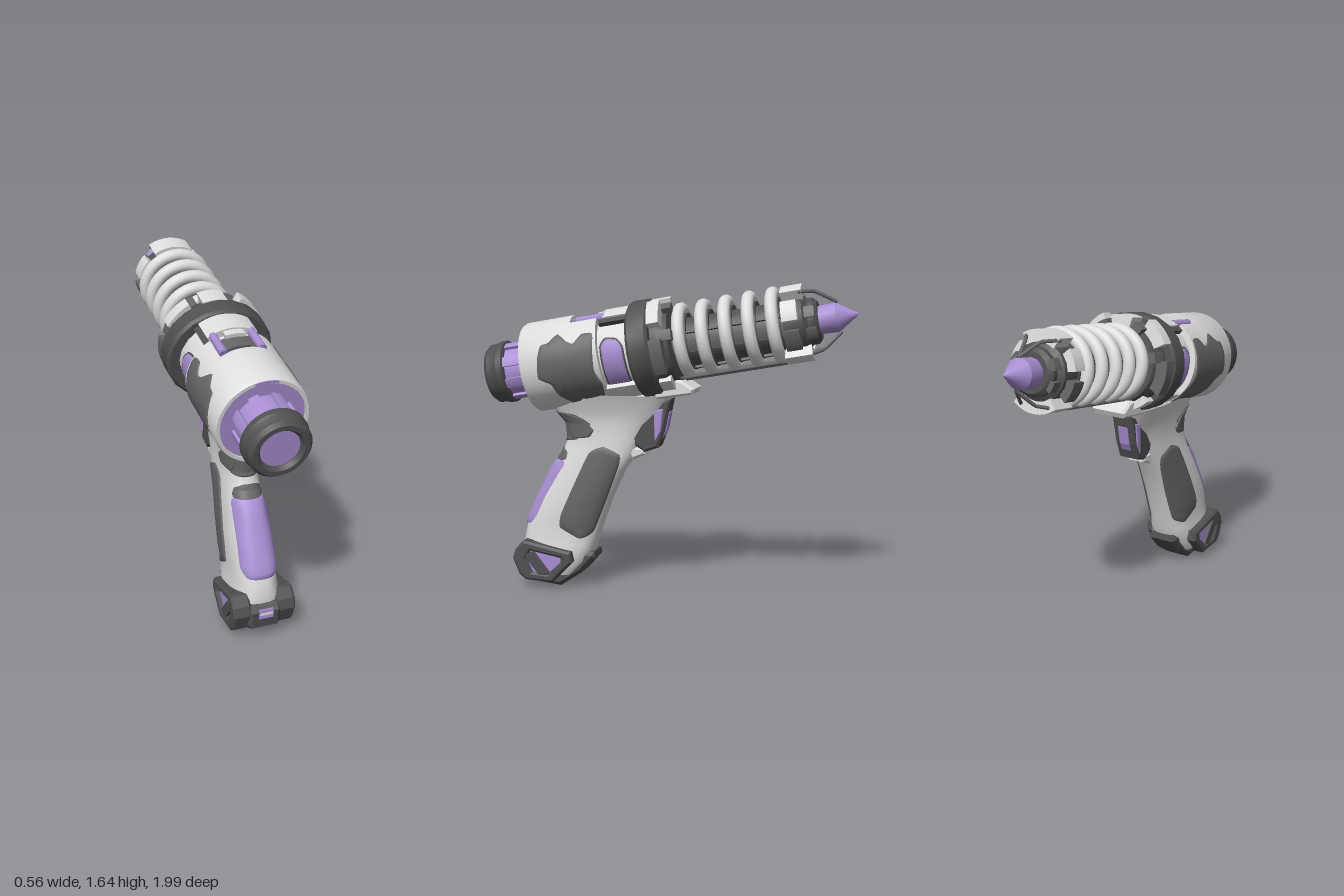
import * as THREE from 'three';
import { toCreasedNormals } from 'three/addons/utils/BufferGeometryUtils.js';

const TILT = THREE.MathUtils.degToRad(10), AXIS_Y = 1.319, N = 2.6;
const mat = (name, color) => new THREE.MeshStandardMaterial({ name, color, side: THREE.DoubleSide });
const rad = THREE.MathUtils.degToRad;

// handle cross-sections: y, back z, front z, half width
const SECTIONS = [
  [0.07, 0.76, 0.49, 0.11], [0.15, 0.80, 0.42, 0.13], [0.24, 0.80, 0.39, 0.125], [0.30, 0.79, 0.37, 0.112],
  [0.38, 0.77, 0.345, 0.12], [0.5, 0.715, 0.30, 0.116], [0.65, 0.64, 0.23, 0.103], [0.74, 0.578, 0.165, 0.093],
  [0.82, 0.545, 0.13, 0.086], [0.9, 0.555, 0.08, 0.088], [0.97, 0.62, 0.01, 0.10], [1.06, 0.66, -0.03, 0.14]];

function sectionAt(y) {
  let i = 0;
  while (i < SECTIONS.length - 2 && SECTIONS[i + 1][0] < y) i++;
  const a = SECTIONS[i], b = SECTIONS[i + 1], t = (y - a[0]) / (b[0] - a[0]);
  const [zb, zf, w] = [1, 2, 3].map(k => a[k] + (b[k] - a[k]) * t);
  return { zc: (zb + zf) / 2, d: (zb - zf) / 2, w };
}
const bulge = t => Math.pow(Math.max(0, 1 - Math.pow(Math.abs(t), N)), 1 / N);

function indexed(pos, idx) {
  const g = new THREE.BufferGeometry();
  g.setAttribute('position', new THREE.Float32BufferAttribute(pos, 3));
  g.setIndex(idx);
  g.computeVertexNormals();
  return g;
}

// loft of superellipse rings
function handleGeometry() {
  const n = 40, pos = [], idx = [];
  SECTIONS.forEach(([y]) => {
    const { zc, d, w } = sectionAt(y);
    for (let i = 0; i < n; i++) {
      const t = i / n * Math.PI * 2, c = Math.cos(t), s = Math.sin(t);
      pos.push(w * Math.sign(c) * Math.abs(c) ** (2 / N), y, zc + d * Math.sign(s) * Math.abs(s) ** (2 / N));
    }
  });
  for (let r = 0; r < SECTIONS.length - 1; r++) for (let i = 0; i < n; i++) {
    const a = r * n + i, b = r * n + (i + 1) % n;
    idx.push(a, a + n, b, b, a + n, b + n);
  }
  return indexed(pos, idx);
}

// thin panel: rounded outline (u, y) wrapped on a surface; place(u, y, offset) gives the point
function panel(outline, place, off = 0.008) {
  const curve = new THREE.CatmullRomCurve3(outline.map(p => new THREE.Vector3(p[0], p[1], 0)), true, 'catmullrom', 0.2);
  const n = 64, rings = 8, pts = curve.getPoints(n).slice(0, n), pos = [], idx = [];
  const c = pts.reduce((s, p) => s.add(p), new THREE.Vector3()).divideScalar(n);
  const ccw = THREE.ShapeUtils.area(pts) > 0;
  for (let k = 0; k <= rings + 1; k++) for (const p of pts) {
    const q = c.clone().lerp(p, Math.min(k, rings) / rings);
    pos.push(...place(q.x, q.y, k > rings ? -0.004 : off));
  }
  for (let k = 0; k <= rings; k++) for (let i = 0; i < n; i++) {
    const a = k * n + i, b = k * n + (i + 1) % n;
    idx.push(...(ccw ? [a, b, a + n, b, b + n, a + n] : [a, a + n, b, b, a + n, b + n]));
  }
  return indexed(pos, idx);
}
const onHandleSide = (z, y, o) => { const s = sectionAt(y); return [-s.w * bulge((z - s.zc) / s.d) - o, y, z]; };
const onHandleBack = (x, y, o) => { const s = sectionAt(y); return [x, y, s.zc + s.d * bulge(x / s.w) + o]; };
const onBarrel = r => (z, y, o) => {
  const h = (y - AXIS_Y) * Math.cos(TILT) + z * Math.sin(TILT);
  return [-Math.sqrt(Math.max(0, r * r - h * h)) - o, y, z];
};

// outline (z, y) extruded across x
function slab(points, x0, x1, hole, bevel = 0.012) {
  const s = new THREE.Shape(points.map(p => new THREE.Vector2(...p)));
  if (hole) s.holes.push(new THREE.Path(hole.map(p => new THREE.Vector2(...p))));
  const g = new THREE.ExtrudeGeometry(s, { depth: x1 - x0 - 2 * bevel, bevelEnabled: bevel > 0, bevelSize: bevel,
    bevelThickness: bevel, bevelOffset: -bevel, bevelSegments: 1 });
  return g.rotateY(-Math.PI / 2).translate(x1 - bevel, 0, 0);
}

// profile of [radius, distance along barrel]
const turned = (profile, seg = 48) => toCreasedNormals(
  new THREE.LatheGeometry(profile.map(p => new THREE.Vector2(...p)), seg).rotateX(-Math.PI / 2), 0.6);

// curved plate around the barrel, centred on an angle in degrees (90 = top)
function arcPlate(r0, r1, mid, width, a0, a1) {
  const s = new THREE.Shape(), b = rad(mid - width / 2), e = rad(mid + width / 2);
  s.absarc(0, 0, r1, b, e, false);
  s.absarc(0, 0, r0, e, b, true);
  return toCreasedNormals(new THREE.ExtrudeGeometry(s, { depth: a1 - a0, bevelEnabled: false, curveSegments: 28 }).translate(0, 0, -a1), 0.6);
}
const polar = (r, deg, a) => new THREE.Vector3(r * Math.cos(rad(deg)), r * Math.sin(rad(deg)), -a);
const rod = (points, r) => new THREE.TubeGeometry(new THREE.CatmullRomCurve3(points, false, 'catmullrom', 0.1), 12, r, 8);

export function createModel() {
  const light = mat('lightShell', 0xdcdcdc), dark = mat('darkMetal', 0x505052);
  const grip = mat('gripGrey', 0x676467), purple = mat('purple', 0xa98ed2);
  const model = new THREE.Group(), barrel = new THREE.Group();
  barrel.name = 'barrel';
  barrel.position.y = AXIS_Y;
  barrel.rotation.x = TILT;
  model.add(barrel);
  const add = (parent, name, geo, m) => {
    const mesh = new THREE.Mesh(geo, m);
    mesh.name = name;
    parent.add(mesh);
    return mesh;
  };
  const both = (name, geo, m) => {
    add(model, name + 'Right', geo, m);
    add(model, name + 'Left', geo, m).scale.x = -1;
  };

  // rear cap and purple cell
  add(barrel, 'rearCap', turned([[0.10, -0.965], [0.115, -0.985], [0.14, -0.985], [0.158, -0.965], [0.16, -0.92],
    [0.167, -0.91], [0.167, -0.88], [0.15, -0.87], [0.1, -0.87], [0.1, -0.965]]), dark);
  add(barrel, 'rearLens', turned([[0, -0.96], [0.105, -0.96]]), purple);
  add(barrel, 'rearCell', turned([[0.14, -0.88], [0.14, -0.72]]), purple);
  for (let i = 0; i < 8; i++) add(barrel, 'cellRib', arcPlate(0.13, 0.155, i * 45 + 22.5, 20, -0.88, -0.73), purple);
  add(barrel, 'rearFace', turned([[0.13, -0.735], [0.222, -0.735]]), purple);

  // main shell with an opening on top
  add(barrel, 'mainShell', turned([[0.215, -0.72], [0.215, -0.75], [0.232, -0.75], [0.24, -0.735], [0.24, -0.47], [0.18, -0.47]]), light);
  add(barrel, 'rearNotch', arcPlate(0.218, 0.231, 90, 30, -0.754, -0.748), purple);
  add(barrel, 'openShell', arcPlate(0.18, 0.24, 270, 296, -0.47, -0.32), light);
  add(barrel, 'innerCell', turned([[0.197, -0.48], [0.197, -0.31]]), purple);
  add(barrel, 'openingBar', arcPlate(0.19, 0.212, 90, 60, -0.41, -0.32), grip);
  add(barrel, 'frontShell', turned([[0.16, -0.32], [0.205, -0.32], [0.205, -0.12]]), light);
  add(barrel, 'topCover', arcPlate(0.2, 0.24, 90, 66, -0.29, -0.15), light);
  add(barrel, 'topTab', arcPlate(0.2, 0.232, 90, 26, -0.33, -0.28), light);
  add(barrel, 'bottomCover', arcPlate(0.2, 0.238, 270, 90, -0.33, -0.15), light);
  for (const s of [-1, 1]) {
    add(barrel, 'topRod', rod([polar(0.225, 90 + s * 26, -0.45), polar(0.225, 90 + s * 26, -0.28)], 0.022), purple);
    add(barrel, 'coverEdge', arcPlate(0.2, 0.23, 90 + s * 37, 8, -0.31, -0.15), dark);
  }
  both('scalePatch', panel([[0.64, 1.25], [0.63, 1.32], [0.59, 1.335], [0.545, 1.38], [0.49, 1.345], [0.45, 1.335], [0.41, 1.385],
    [0.35, 1.385], [0.335, 1.2], [0.30, 1.13], [0.305, 1.06], [0.37, 1.02], [0.42, 1.045], [0.47, 1.01], [0.54, 1.06], [0.57, 1.12],
    [0.635, 1.15]], onBarrel(0.24), 0.006), grip);
  const windowOutline = (w, h) => [[-w, -h * 0.7], [-w * 0.5, -h], [w * 0.5, -h], [w, -h * 0.7], [w, h * 0.7], [w * 0.5, h], [-w * 0.5, h],
    [-w, h * 0.7]].map(([z, y]) => [0.232 + z + y * 0.17, 1.215 + y]);
  both('windowFrame', panel(windowOutline(0.085, 0.168), onBarrel(0.206), 0.003), light);
  both('windowRim', panel(windowOutline(0.064, 0.15), onBarrel(0.206), 0.006), dark);
  both('sideWindow', panel(windowOutline(0.056, 0.142), onBarrel(0.206), 0.009), purple);

  // wide dark ring and collar plates
  add(barrel, 'collarRing', turned([[0.2, -0.155], [0.245, -0.155], [0.258, -0.14], [0.258, -0.05], [0.245, -0.035], [0.19, -0.035]], 20), dark).scale.x = 1.09;
  add(barrel, 'collarCore', turned([[0.225, -0.04], [0.225, 0.0], [0.2, 0.05], [0.13, 0.06]]), dark);
  for (const [mid, width, r, m] of [[44, 32, 0.278, light], [136, 32, 0.278, light], [-10, 40, 0.272, grip], [190, 40, 0.272, grip],
    [-62, 34, 0.25, light], [242, 34, 0.25, light]]) add(barrel, 'collarPlate', arcPlate(0.19, r, mid, width, -0.035, 0.03), m);
  for (const mid of [62, 118, 15, 165]) add(barrel, 'collarClip', arcPlate(0.17, 0.235, mid, 14, 0.0, 0.08), grip);
  add(barrel, 'collarTopBlock', arcPlate(0.17, 0.25, 90, 30, -0.035, 0.07), light);
  add(model, 'lowerLip', slab([[0.05, 1.04], [-0.02, 1.05], [-0.15, 1.07], [-0.165, 1.1], [-0.1, 1.14], [-0.02, 1.16], [0.05, 1.14]], -0.1, 0.1), light);

  // coil section: dark railed core with a narrow purple strip on top
  add(barrel, 'coilCore', turned([[0.112, 0.04], [0.112, 0.72]]), purple);
  for (const [mid, width] of [[0, 36], [45, 46], [135, 46], [180, 36], [225, 46], [270, 36], [315, 46]])
    add(barrel, 'coreRail', arcPlate(0.095, mid % 90 ? 0.135 : 0.145, mid, width, 0.04, 0.72), mid % 90 ? dark : grip);
  for (let i = 0; i < 5; i++) {
    const a = 0.103 + i * 0.122;
    add(barrel, 'coil', new THREE.TorusGeometry(0.17, 0.032, 14, 48).translate(0, 0.008, -a), light);
    add(barrel, 'coreBand', turned([[0.1, a - 0.035], [0.15, a - 0.035], [0.15, a + 0.035], [0.1, a + 0.035]]), dark);
  }
  for (const deg of [252, 270, 288]) add(barrel, 'lowerRod', rod([polar(0.19, deg, 0.02), polar(0.19, deg, 0.74)], 0.009), grip);

  // muzzle
  add(barrel, 'muzzleCollar', turned([[0.1, 0.64], [0.148, 0.64], [0.148, 0.74], [0.12, 0.76], [0.12, 0.79], [0.1, 0.81], [0.05, 0.81]], 16), dark);
  add(barrel, 'muzzleTopPlate', arcPlate(0.14, 0.2, 90, 64, 0.64, 0.75), light);
  add(barrel, 'muzzleBottomPlate', arcPlate(0.14, 0.2, 270, 74, 0.62, 0.76), light);
  for (const mid of [25, 155, 205, 335]) {
    add(barrel, 'muzzleSidePlate', arcPlate(0.14, 0.19, mid, 34, 0.64, 0.72), mid < 180 ? light : grip);
    add(barrel, 'muzzleClip', arcPlate(0.11, 0.135, mid, 26, 0.73, 0.8), grip);
  }
  for (const [deg, mid] of [[58, 90], [122, 90], [238, 270], [302, 270]])
    add(barrel, 'tipStrut', rod([polar(0.19, deg, 0.73), polar(0.155, (deg + mid) / 2, 0.81), polar(0.078, mid, 0.91)], 0.009), grip);
  add(barrel, 'crystalTip', turned([[0.07, 0.76], [0.076, 0.9], [0, 1.015]], 16), purple);

  // handle and its panels
  add(model, 'handle', handleGeometry(), light);
  both('gripPatch', panel([[0.41, 0.74], [0.33, 0.78], [0.245, 0.74], [0.25, 0.68], [0.39, 0.32], [0.46, 0.28], [0.565, 0.34], [0.555, 0.42]], onHandleSide), grip);
  both('neckPatch', panel([[0.54, 0.95], [0.46, 0.93], [0.385, 0.87], [0.41, 0.83], [0.5, 0.82], [0.525, 0.86]], onHandleSide), grip);
  add(model, 'neckBackPatch', panel([[-0.07, 0.81], [0.07, 0.81], [0.083, 0.95], [-0.083, 0.95]], onHandleBack), grip);
  add(model, 'backPatch', panel([[-0.075, 0.7], [0.075, 0.7], [0.065, 0.745], [0.03, 0.765], [-0.03, 0.765], [-0.065, 0.745]], onHandleBack, 0.006), grip);
  add(model, 'backStrip', panel([[-0.095, 0.39], [-0.07, 0.345], [0.07, 0.345], [0.095, 0.39], [0.088, 0.66], [0.07, 0.7], [-0.07, 0.7], [-0.088, 0.66]], onHandleBack, 0.009), purple);

  // trigger
  add(model, 'triggerHousing', slab([[0.19, 0.87], [0.11, 1.0], [-0.03, 1.04], [0.005, 0.87], [0.04, 0.78], [0.115, 0.755], [0.165, 0.79]], -0.062, 0.062), dark);
  add(model, 'trigger', slab([[0.06, 0.98], [0.008, 0.99], [0.022, 0.87], [0.055, 0.81]], -0.068, 0.068, null, 0.006), purple);
  add(model, 'triggerFront', slab([[0.02, 0.97], [-0.022, 0.97], [-0.002, 0.87], [0.02, 0.83]], -0.03, 0.03, null, 0.004), purple);
  add(model, 'triggerLip', slab([[0.22, 0.78], [0.11, 0.775], [0.11, 0.74], [0.18, 0.71]], -0.055, 0.055), light);

  // foot
  add(model, 'footCore', slab([[0.835, 0.18], [0.80, 0.21], [0.70, 0.2], [0.45, 0.2], [0.39, 0.2], [0.385, 0.17], [0.46, 0.085], [0.58, 0.005], [0.705, 0.02],
    [0.82, 0.085]], -0.088, 0.088, null, 0.02), dark);
  add(model, 'footLight', new THREE.BoxGeometry(0.075, 0.05, 0.01).translate(0, 0.17, 0.833), purple);
  add(model, 'footLightStripe', new THREE.BoxGeometry(0.07, 0.012, 0.008).translate(0, 0.172, 0.837), light);
  const frame = [[0.825, 0.165], [0.81, 0.215], [0.768, 0.26], [0.74, 0.26], [0.50, 0.21], [0.49, 0.155], [0.605, 0.04], [0.755, 0.05], [0.79, 0.08]];
  const hole = [[0.75, 0.165], [0.725, 0.21], [0.555, 0.178], [0.555, 0.155], [0.63, 0.085], [0.715, 0.092]];
  both('footFrame', slab(frame, -0.165, -0.07, hole), dark);
  both('footWindow', slab(hole, -0.145, -0.137, null, 0), purple);
  both('footBar', slab([[0.76, 0.18], [0.71, 0.21], [0.615, 0.09], [0.67, 0.07]], -0.162, -0.13, null, 0.004), dark);
  return model;
}
